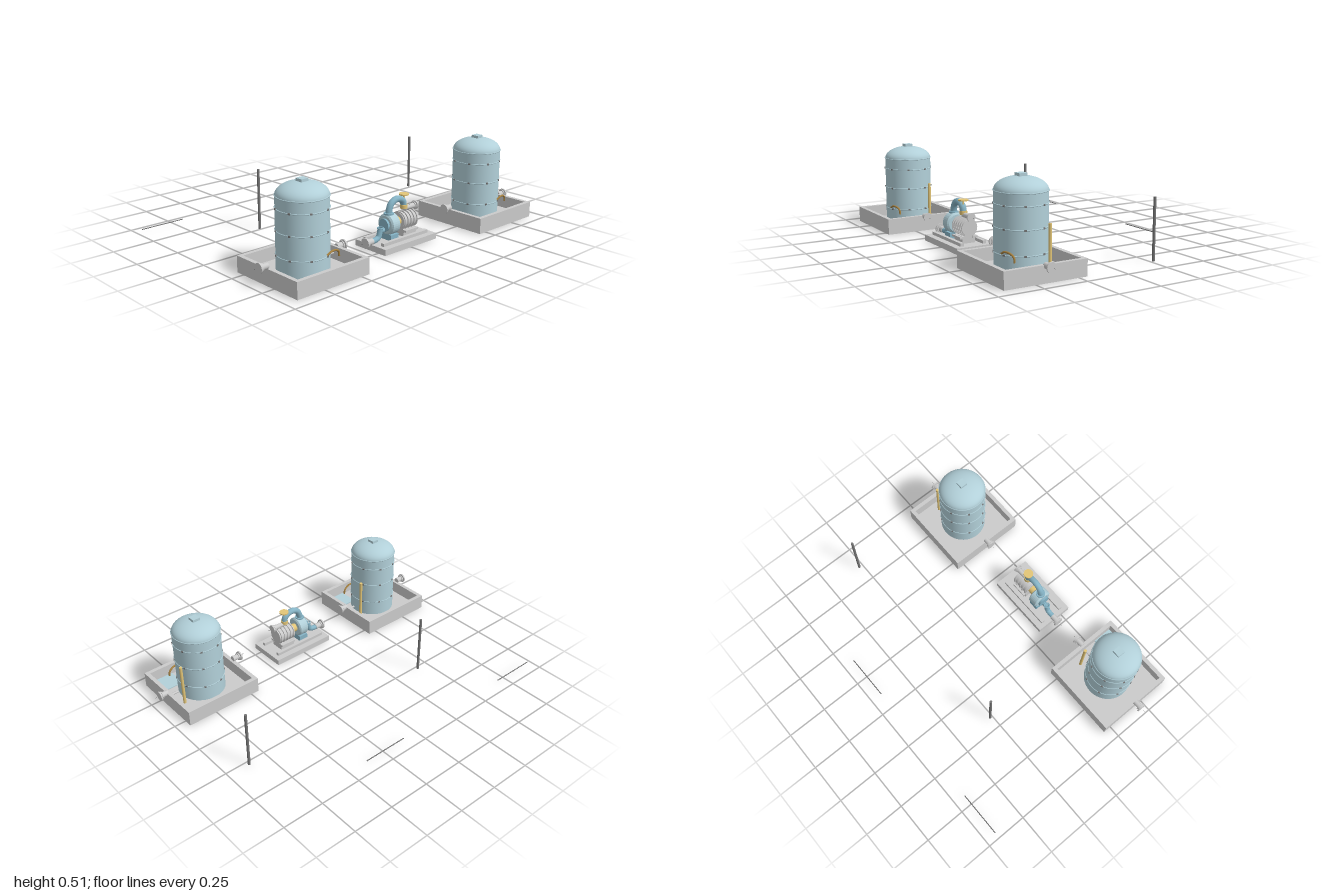
import * as THREE from 'three';

const material = (color, side = THREE.FrontSide) => new THREE.MeshStandardMaterial({ color, side });
const grey = material(0xcccccc);
const blue = material(0xb2d0d9);
const pipeBlue = material(0x86b4c6);
const gold = material(0xe3c678);
const brass = material(0xa5803f);
const dark = material(0x777777);

function add(parent, name, geometry, mat, x = 0, y = 0, z = 0) {
  const mesh = new THREE.Mesh(geometry, mat);
  mesh.name = name;
  mesh.position.set(x, y, z);
  parent.add(mesh);
  return mesh;
}

const box = (w, h, d) => new THREE.BoxGeometry(w, h, d);
const drum = (r, h, n = 24) => new THREE.CylinderGeometry(r, r, h, n);
const drumX = (r, h, n = 24) => drum(r, h, n).rotateZ(Math.PI / 2);
const v2 = (x, y) => new THREE.Vector2(x, y);

function tube(points, r, n = 32) {
  const path = new THREE.CatmullRomCurve3(points.map(p => new THREE.Vector3(...p)));
  return new THREE.TubeGeometry(path, n, r, 12);
}

// Short pipe stub along x with an end flange and a fine axis mark; dir is +1 or -1
function nozzle(parent, name, x, y, dir, r = 0.028) {
  const g = new THREE.Group();
  g.name = name;
  g.position.set(x, y, 0);
  parent.add(g);
  add(g, 'nozzlePipe', drumX(r * 0.6, 0.05), grey, dir * 0.015);
  add(g, 'nozzleFlange', drumX(r, 0.009), grey, dir * 0.041);
  add(g, 'nozzleRearFlange', drumX(r * 0.8, 0.007), grey, dir * 0.029);
  add(g, 'axisMark', drumX(0.0015, 0.008, 6), dark, dir * 0.067);
}

// Storage tank standing in its walled basin, centred on its own axis
function createTank() {
  const g = new THREE.Group();
  g.name = 'tankUnit';

  // Basin: floor and four walls
  const half = 0.24, wall = 0.024, height = 0.093, inner = half - wall;
  add(g, 'basinFloor', box(half * 2, 0.02, half * 2), grey, 0, 0.01);
  for (const s of [-1, 1]) {
    add(g, 'basinSideWall', box(wall, height, half * 2), grey, s * (half - wall / 2), height / 2);
    add(g, 'basinEndWall', box(inner * 2, height, wall), grey, 0, height / 2, s * (half - wall / 2));
  }
  add(g, 'sumpPlate', box(0.143, 0.006, 0.12), blue, 0.1445, 0.023, 0.156);

  // Shell with a shallow domed roof
  add(g, 'tankShell', new THREE.CylinderGeometry(0.14, 0.14, 0.404, 48, 1, true), blue, 0, 0.222);
  const roof = [];
  for (let i = 0; i <= 14; i++) {
    const a = (i / 14) * Math.PI / 2;
    roof.push(v2(0.14 * Math.cos(a), 0.424 + 0.072 * Math.sin(a)));
  }
  roof[14].x = 0;
  add(g, 'tankRoof', new THREE.LatheGeometry(roof, 48), blue);
  add(g, 'roofHatch', box(0.046, 0.02, 0.046), blue, 0, 0.5);
  for (const y of [0.115, 0.245, 0.362, 0.425]) {
    add(g, 'tankBand', new THREE.TorusGeometry(0.14, 0.0035, 6, 48).rotateX(Math.PI / 2), blue, 0, y);
    // Clamp lugs around each lower band
    for (let i = 0; i < 8 && y < 0.4; i++) {
      const a = (i + 0.5) * Math.PI / 4;
      const lug = add(g, 'bandLug', box(0.006, 0.009, 0.012), dark, 0.142 * Math.cos(a), y, 0.142 * Math.sin(a));
      lug.rotation.y = -a;
    }
  }

  // Level column, drain fittings and nozzles
  add(g, 'levelColumn', drum(0.009, 0.255, 16), gold, 0.163, 0.1475, -0.068);
  add(g, 'drainPipe', drumX(0.007, 0.045, 12), grey, 0.184, 0.06);
  add(g, 'drainHose', tube([[0.04, 0.124, 0.137], [0.07, 0.137, 0.136], [0.11, 0.135, 0.128],
    [0.135, 0.12, 0.122], [0.14, 0.095, 0.121]], 0.0055), brass);
  nozzle(g, 'inletNozzle', -0.24, 0.105, -1);
  nozzle(g, 'outletNozzle', 0.24, 0.088, 1);
  return g;
}

// Motor-driven pump on a skid, shaft along x
function createPump() {
  const g = new THREE.Group();
  g.name = 'pumpUnit';
  const axis = 0.122;

  // Skid
  add(g, 'skidPlate', box(0.41, 0.035, 0.236), grey, 0, 0.0175);
  for (const s of [-1, 1]) add(g, 'skidRail', box(0.353, 0.018, 0.021), grey, -0.003, 0.044, s * 0.07);
  add(g, 'pumpPedestal', box(0.06, 0.035, 0.09), pipeBlue, -0.056, 0.052);
  add(g, 'motorPedestal', box(0.1, 0.04, 0.08), grey, 0.07, 0.055);

  // Pump casing, coupling guard and finned motor
  const casing = [v2(0, -0.033), v2(0.05, -0.033), v2(0.06, -0.026), v2(0.06, 0.026), v2(0.05, 0.033), v2(0, 0.033)];
  const casingGeometry = new THREE.LatheGeometry(casing, 32).toNonIndexed();
  casingGeometry.computeVertexNormals();
  casingGeometry.rotateZ(Math.PI / 2);
  add(g, 'pumpCasing', casingGeometry, blue, -0.056, axis);
  add(g, 'casingEndCover', drumX(0.036, 0.016), pipeBlue, -0.094, axis);
  add(g, 'couplingGuard', drumX(0.026, 0.05), gold, -0.004, axis);
  add(g, 'motorBody', drumX(0.047, 0.115), grey, 0.072, axis);
  for (let i = 0; i < 5; i++) add(g, 'motorFin', drumX(0.054, 0.006), grey, 0.022 + i * 0.024, axis);
  for (const s of [-1, 1]) add(g, 'motorFoot', box(0.1, 0.012, 0.03), grey, 0.072, 0.068, s * 0.04);

  // Suction line: stub, rising pipe with open collar, link into the casing
  add(g, 'suctionPipe', tube([[-0.21, 0.05, 0], [-0.17, 0.05, 0], [-0.142, 0.06, 0],
    [-0.132, 0.085, 0], [-0.127, 0.112, 0]], 0.016), pipeBlue);
  add(g, 'suctionCollar', new THREE.TorusGeometry(0.016, 0.004, 8, 20).rotateX(Math.PI / 2), pipeBlue, -0.127, 0.112);
  add(g, 'suctionLink', drumX(0.014, 0.04, 16), pipeBlue, -0.112, 0.095);
  nozzle(g, 'suctionNozzle', -0.199, 0.05, -1, 0.03);

  // Discharge line arching over to the valve
  add(g, 'dischargePipe', tube([[-0.062, 0.165, 0], [-0.06, 0.2, 0], [-0.044, 0.235, 0], [-0.012, 0.252, 0],
    [0.025, 0.248, 0], [0.05, 0.23, 0], [0.058, 0.2, 0]], 0.019), pipeBlue);
  add(g, 'dischargeFlange', drum(0.028, 0.009), pipeBlue, -0.062, 0.182);
  add(g, 'valveBody', drum(0.022, 0.022), gold, 0.058, 0.199);
  add(g, 'valveOutlet', drumX(0.014, 0.06, 16), grey, 0.088, 0.187);
  add(g, 'valveStem', drum(0.005, 0.05, 10), gold, 0.058, 0.245);
  add(g, 'handWheel', drum(0.029, 0.007), gold, 0.058, 0.27);
  nozzle(g, 'dischargeNozzle', 0.11, 0.187, 1, 0.025);
  return g;
}

export function createModel() {
  const model = new THREE.Group();
  model.name = 'pumpingStation';

  // Two matching tanks either side of the pump
  for (const x of [-0.688, 0.688]) {
    const tank = createTank();
    tank.position.set(x, 0, 0.44);
    model.add(tank);
  }
  const pump = createPump();
  pump.position.set(0, 0, 0.438);
  model.add(pump);

  // Free-standing posts
  add(model, 'rightPost', drum(0.008, 0.362, 12), dark, -0.425, 0.181, -0.265);
  add(model, 'leftPost', drum(0.008, 0.347, 12), dark, 0.863, 0.1735, -0.273);

  // Thin ground rods at the back
  for (const x of [-0.828, 0.242]) add(model, 'groundRod', drumX(0.003, 0.275, 8), dark, x, 0.016, -0.68);
  return model;
}
